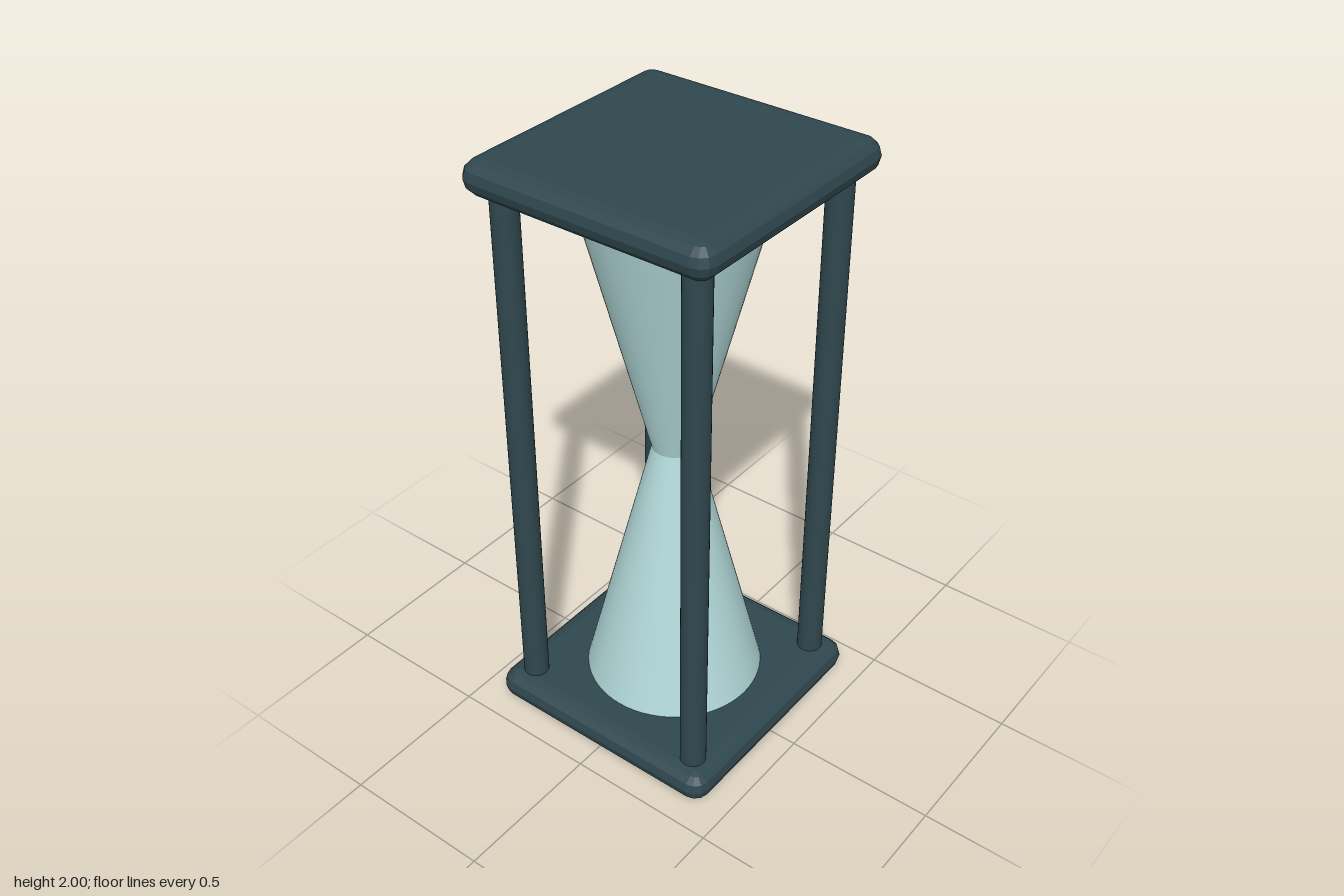
import * as THREE from 'three';
import { ConvexGeometry } from 'three/addons/geometries/ConvexGeometry.js';

const H = 2, PLATE = 0.11, HALF = 0.425, MID = H / 2;

// Square slab with fully rounded rim: hull of four faceted corner balls
function plateGeometry() {
  const r = PLATE / 2, c = HALF - r, points = [];
  for (const sx of [-1, 1]) for (const sz of [-1, 1]) {
    for (let i = -3; i <= 3; i++) {
      const lat = i * Math.PI / 6;
      const ring = Math.abs(i) === 3 ? 0 : r * Math.cos(lat);
      for (let j = 0; j <= (ring ? 3 : 0); j++) {
        const a = j * Math.PI / 6;
        points.push(new THREE.Vector3(
          sx * (c + ring * Math.cos(a)), r * Math.sin(lat), sz * (c + ring * Math.sin(a))));
      }
    }
  }
  return new ConvexGeometry(points);
}

export function createModel() {
  const group = new THREE.Group();
  const frame = new THREE.MeshStandardMaterial({ color: 0x2f474e });
  const glass = new THREE.MeshStandardMaterial({ color: 0xb2d8d8 });

  const add = (name, geometry, material, x, y, z) => {
    const mesh = new THREE.Mesh(geometry, material);
    mesh.name = name;
    mesh.position.set(x, y, z);
    group.add(mesh);
  };

  // End plates
  const plate = plateGeometry();
  add('bottomPlate', plate, frame, 0, PLATE / 2, 0);
  add('topPlate', plate, frame, 0, H - PLATE / 2, 0);

  // Corner posts, ends sunk slightly into the plates
  const post = new THREE.CylinderGeometry(0.042, 0.042, H - 2 * PLATE + 0.04, 32);
  for (const sx of [-1, 1]) for (const sz of [-1, 1]) {
    const name = (sz > 0 ? 'front' : 'back') + (sx > 0 ? 'Left' : 'Right') + 'Post';
    add(name, post, frame, sx * 0.332, MID, sz * 0.332);
  }

  // Two glass bulbs meeting at the narrow neck
  const bulbHeight = MID - PLATE, neck = 0.07, wide = 0.293;
  add('lowerBulb', new THREE.CylinderGeometry(neck, wide, bulbHeight, 64), glass, 0, PLATE + bulbHeight / 2, 0);
  add('upperBulb', new THREE.CylinderGeometry(wide, neck, bulbHeight, 64), glass, 0, MID + bulbHeight / 2, 0);

  return group;
}
